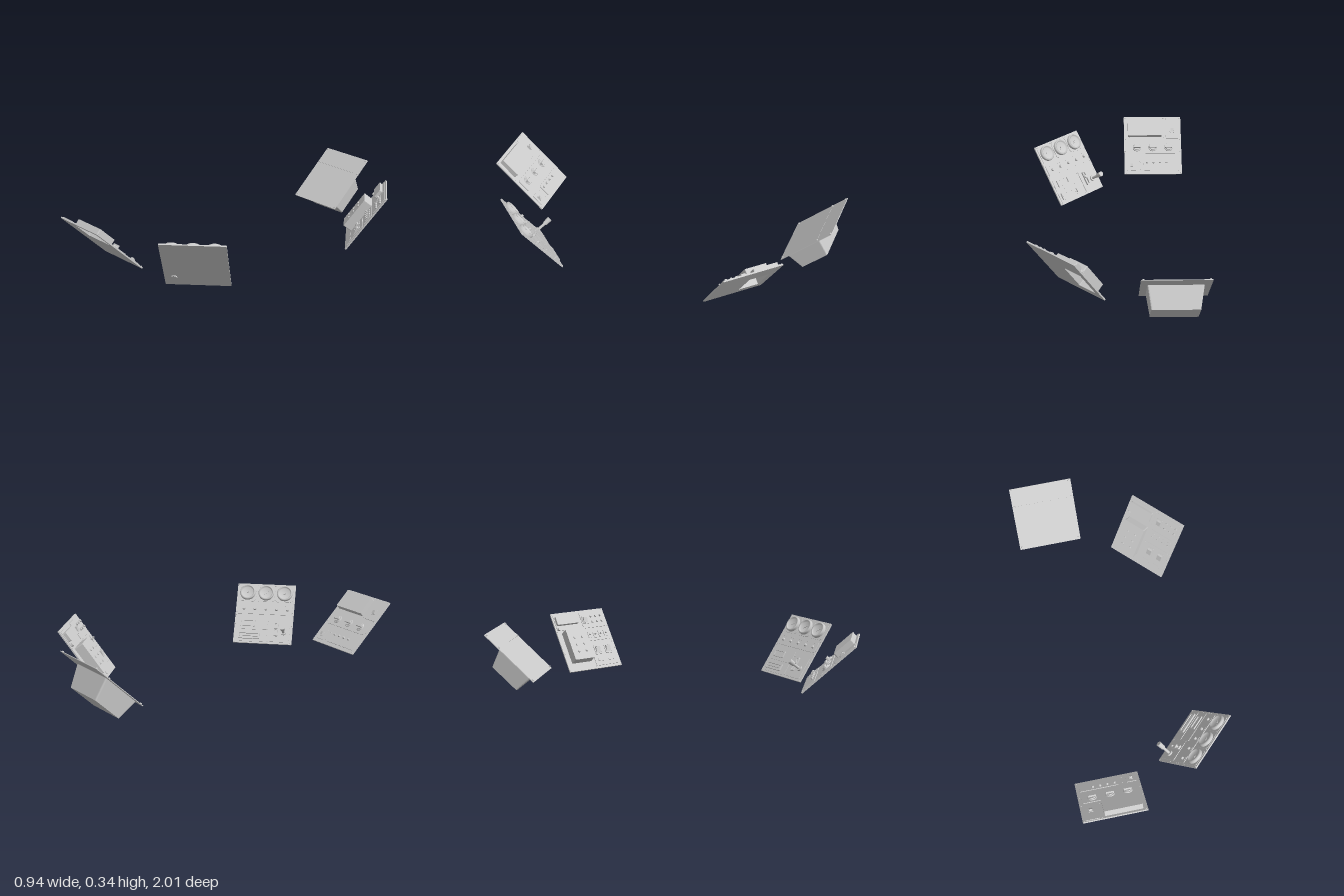
import * as THREE from 'three';

const mat = new THREE.MeshStandardMaterial({ color: 0xcccccc, side: THREE.DoubleSide });
const W = 0.354, H = 0.382, T = 0.008;

// rounded rectangle outline centred on (x, y)
function roundRect(w, h, r, x = 0, y = 0, Type = THREE.Shape) {
  const s = new Type(), a = x - w / 2, b = y - h / 2;
  s.moveTo(a + r, b);
  s.lineTo(a + w - r, b).quadraticCurveTo(a + w, b, a + w, b + r);
  s.lineTo(a + w, b + h - r).quadraticCurveTo(a + w, b + h, a + w - r, b + h);
  s.lineTo(a + r, b + h).quadraticCurveTo(a, b + h, a, b + h - r);
  s.lineTo(a, b + r).quadraticCurveTo(a, b, a + r, b);
  return s;
}

function add(parent, name, geo, x = 0, y = 0, z = 0) {
  const m = new THREE.Mesh(geo, mat);
  m.name = name;
  m.position.set(x, y, z);
  parent.add(m);
  return m;
}

const slabGeo = (shape, d) => new THREE.ExtrudeGeometry(shape, { depth: d, bevelEnabled: false, curveSegments: 5 });

// slab standing on the panel face; holes are [w, h, x, y] in slab coordinates
function slab(parent, name, x, y, w, h, d, z = 0, holes = [], r = 0.006) {
  const s = roundRect(w, h, Math.min(r, w / 3, h / 3));
  for (const [hw, hh, hx = 0, hy = 0] of holes) s.holes.push(roundRect(hw, hh, 0.003, hx, hy, THREE.Path));
  return add(parent, name, slabGeo(s, d), x, y, z);
}

// round peg along the panel normal
function peg(parent, name, x, y, r, d, z = 0, r2 = r, n = 20) {
  const g = new THREE.CylinderGeometry(r2, r, d, n).rotateX(Math.PI / 2);
  return add(parent, name, g, x, y, z + d / 2);
}

function screws(parent, points) {
  for (const [x, y] of points) peg(parent, 'screw', x, y, 0.0035, 0.003, 0, 0.0025, 10);
}

// hollow housing, open at the back, with a lid in front
function housing(parent, name, x, y, w, h, d) {
  slab(parent, name + 'Walls', x, y, w, h, d + T, -T, [[w - 0.012, h - 0.012]]);
  slab(parent, name + 'Lid', x, y, w, h, 0.004, d - 0.004);
}

// rotary knob: skirt, cap and grip bar
function knob(parent, x, y, r) {
  const g = new THREE.Group();
  g.name = 'rotaryKnob';
  g.position.set(x, y, 0.004);
  peg(g, 'knobSkirt', 0, 0, r, 0.005, 0, r * 0.92, 28);
  peg(g, 'knobCap', 0, 0, r * 0.75, 0.006, 0.004, r * 0.68, 28);
  slab(g, 'knobGrip', 0, 0, r * 1.7, r * 0.45, 0.016, 0.004, [], 0.003);
  parent.add(g);
}

// round gauge: raised bezel with a sunken dial
function gauge(parent, x, y, r) {
  const pts = [[r, 0], [r, 0.014], [r * 0.93, 0.02], [r * 0.78, 0.02], [r * 0.74, 0.008], [0, 0.008]];
  const g = new THREE.LatheGeometry(pts.map(p => new THREE.Vector2(...p)), 36).rotateX(Math.PI / 2);
  add(parent, 'gauge', g, x, y, 0);
  add(parent, 'needle', new THREE.BoxGeometry(r * 0.6, 0.003, 0.003), x, y, 0.009).rotation.z = 0.7;
  peg(parent, 'needleHub', x, y, 0.005, 0.005, 0.008);
}

// rocker switch in a bezel
function rocker(parent, x, y, w, h) {
  slab(parent, 'switchBezel', x, y, w, h, 0.008, 0, [[w * 0.7, h * 0.7]]);
  add(parent, 'rocker', new THREE.BoxGeometry(w * 0.62, h * 0.62, 0.014), x, y, 0.007).rotation.x = 0.3;
}

// base plate placed in the scene, its face tilted back and turned
function panel(root, name, pos, tilt, turn, w = W, h = H, t = T, holes = []) {
  const g = new THREE.Group();
  g.name = name;
  g.position.set(...pos);
  g.rotation.set(-tilt, turn, 0, 'YXZ');
  slab(g, 'plate', 0, 0, w, h, t, -t, holes.map(([hx, hy, hw, hh]) => [hw, hh, hx, hy]), 0.004);
  root.add(g);
  return g;
}

const corners = (x, y) => [[-x, -y], [x, -y], [-x, y], [x, y]];

// panel with a display housing, three rotary knobs and a button strip
function displayPanel(root) {
  const g = panel(root, 'displayPanel', [-0.254, 0.195, 0.857], 0.82, Math.PI, W, H, T, [[-0.048, 0.115, 0.198, 0.108]]);
  housing(g, 'display', -0.048, 0.115, 0.21, 0.12, 0.03);
  slab(g, 'switchSection', 0.123, 0.115, 0.08, 0.14, 0.004);
  rocker(g, 0.123, 0.1, 0.03, 0.034);
  slab(g, 'knobSection', 0, -0.018, 0.312, 0.08, 0.004);
  for (let i = -1; i <= 1; i++) knob(g, i * 0.098, -0.016, 0.026);
  slab(g, 'buttonSection', 0.05, -0.132, 0.216, 0.075, 0.004);
  for (let i = 0; i < 4; i++) peg(g, 'button', 0.082 - i * 0.04, -0.115, 0.007, 0.012, 0.003, 0.006);
  slab(g, 'socketSection', -0.132, -0.135, 0.055, 0.07, 0.004);
  rocker(g, -0.132, -0.135, 0.024, 0.03);
  screws(g, [...corners(0.168, 0.182), ...corners(0.168, 0.04), [-0.08, -0.11], [-0.08, -0.16], [0.07, 0.18], [0.07, 0.05]]);
}

// panel with three gauges, a row of small knobs, slots and a lever
function gaugePanel(root) {
  const g = panel(root, 'gaugePanel', [0.262, 0.16, 0.621], 0.632, Math.PI * 1.25);
  for (let i = -1; i <= 1; i++) {
    slab(g, 'gaugeSection', i * 0.113, 0.13, 0.106, 0.106, 0.003, 0, [], 0.02);
    gauge(g, i * 0.113, 0.132, 0.047);
  }
  slab(g, 'knobSection', 0, 0.028, 0.33, 0.066, 0.004);
  for (let i = 0; i < 5; i++) {
    peg(g, 'smallKnob', -0.127 + i * 0.066, 0.028, 0.009, 0.012, 0.003, 0.007);
    slab(g, 'label', -0.127 + i * 0.066, 0.052, 0.026, 0.006, 0.002, 0.004);
  }
  slab(g, 'upperSlotSection', -0.07, -0.066, 0.19, 0.075, 0.003);
  slab(g, 'upperSlot', -0.096, -0.064, 0.088, 0.042, 0.01, 0, [[0.076, 0.03]]);
  slab(g, 'lowerSlotSection', -0.07, -0.146, 0.19, 0.07, 0.003);
  slab(g, 'lowerSlot', -0.085, -0.144, 0.13, 0.042, 0.012, 0, [[0.114, 0.024]]);
  add(g, 'slotBar', new THREE.BoxGeometry(0.108, 0.01, 0.008), -0.085, -0.144, 0.006);
  slab(g, 'leverSection', 0.1, -0.113, 0.12, 0.13, 0.004);
  slab(g, 'leverSlot', 0.077, -0.1, 0.026, 0.085, 0.014, 0, [[0.012, 0.07]]);
  slab(g, 'slider', 0.077, -0.09, 0.022, 0.016, 0.022);
  // lever runs through the plate
  peg(g, 'leverBoss', 0.124, -0.117, 0.017, 0.028, -0.014);
  peg(g, 'leverStem', 0.124, -0.117, 0.008, 0.06, 0.01);
  peg(g, 'leverGrip', 0.124, -0.117, 0.013, 0.04, 0.06, 0.015);
  screws(g, [...corners(0.17, 0.184), ...corners(0.17, 0.07), ...corners(0.17, 0.01), [0.032, -0.05], [0.032, -0.175], [-0.056, 0.18], [0.056, 0.18]]);
}

// panel with a deep keypad housing, a long raised cover and rockers
function keypadPanel(root) {
  const g = panel(root, 'keypadPanel', [0.262, 0.16, -0.621], 0.632, -Math.PI / 4, W, H, T, [[-0.08, -0.04, 0.118, 0.188]]);
  housing(g, 'keypad', -0.08, -0.04, 0.13, 0.2, 0.054);
  for (let i = 0; i < 2; i++) for (let j = 0; j < 3; j++)
    peg(g, 'key', -0.105 + i * 0.05, -0.09 + j * 0.045, 0.007, 0.006, 0.054, 0.006);
  slab(g, 'coverSection', -0.085, 0.128, 0.165, 0.1, 0.004);
  slab(g, 'raisedCover', -0.09, 0.135, 0.145, 0.056, 0.022);
  peg(g, 'sideKnob', -0.155, 0.086, 0.01, 0.014);
  slab(g, 'upperSection', 0.084, 0.125, 0.15, 0.105, 0.004);
  rocker(g, 0.035, 0.125, 0.04, 0.05);
  for (let i = 0; i < 3; i++) for (let j = 0; j < 2; j++)
    peg(g, 'button', 0.08 + i * 0.032, 0.108 + j * 0.036, 0.007, 0.011, 0.003);
  slab(g, 'middleSection', 0.084, 0.025, 0.15, 0.075, 0.004);
  for (let i = 0; i < 4; i++) {
    slab(g, 'toggleBase', 0.03 + i * 0.036, 0.025, 0.022, 0.042, 0.008);
    peg(g, 'toggle', 0.03 + i * 0.036, 0.025, 0.004, 0.016, 0.006, 0.005, 12);
  }
  slab(g, 'rockerSection', 0.084, -0.1, 0.15, 0.15, 0.004);
  for (const x of [0.05, 0.12]) {
    rocker(g, x, -0.075, 0.045, 0.06);
    slab(g, 'label', x, -0.14, 0.04, 0.016, 0.007);
  }
  screws(g, [...corners(0.17, 0.184), ...corners(0.17, 0.072), [0.003, -0.03], [0.003, -0.18], [0.165, -0.03]]);
}

// plain cover plate with a tapered case underneath
function coverPanel(root) {
  const g = panel(root, 'coverPanel', [-0.292, 0.195, -0.865], 0.82, 0, 0.36, 0.372, 0.004);
  const geo = slabGeo(roundRect(0.29, 0.24, 0.01), 0.122), p = geo.attributes.position;
  for (let i = 0; i < p.count; i++) {
    const k = 1 - p.getZ(i) / 0.122; // 0 at the plate, 1 at the far face
    p.setXY(i, p.getX(i) * (1 - 0.13 * k), p.getY(i) * (1 - 0.22 * k) - 0.012 * k);
  }
  geo.computeVertexNormals();
  add(g, 'case', geo, 0, -0.04, -0.124);
  add(g, 'seam', new THREE.BoxGeometry(0.34, 0.002, 0.002), 0, 0.078, 0);
  for (const x of [-0.168, 0.168]) for (const y of [-0.172, 0.08, 0.176])
    peg(g, 'bolt', x, y, 0.006, 0.008, -0.002, 0.005, 12);
}

export function createModel() {
  const root = new THREE.Group();
  root.name = 'controlPanels';
  displayPanel(root);
  gaugePanel(root);
  keypadPanel(root);
  coverPanel(root);
  return root;
}
